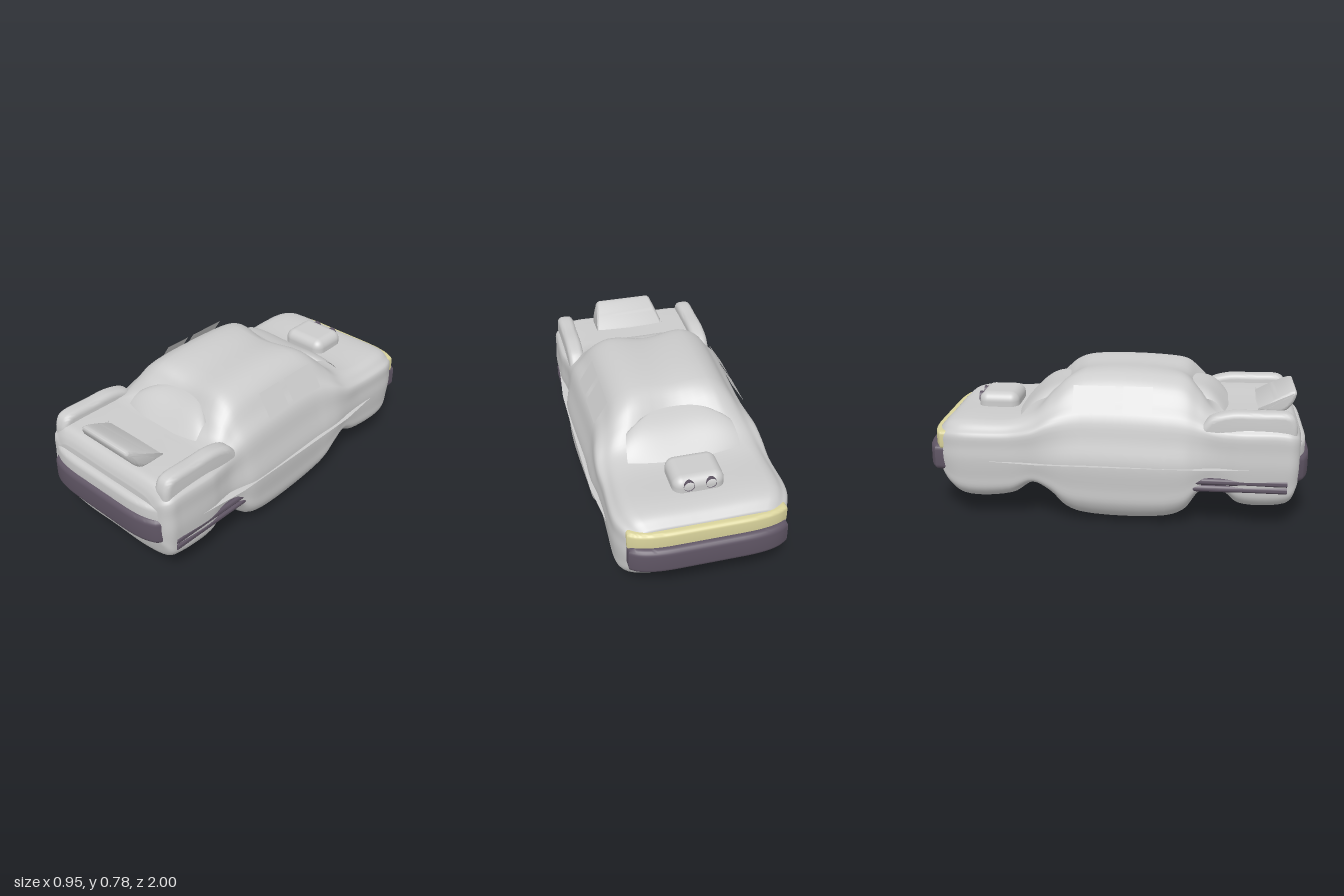
import * as THREE from 'three';
import { toCreasedNormals } from 'three/addons/utils/BufferGeometryUtils.js';
import { RoundedBoxGeometry } from 'three/addons/geometries/RoundedBoxGeometry.js';
import { ParametricGeometry } from 'three/addons/geometries/ParametricGeometry.js';

const grey = new THREE.MeshStandardMaterial({ color: 0xcccccc });
const greyThin = new THREE.MeshStandardMaterial({ color: 0xcccccc, side: THREE.DoubleSide });
const dark = new THREE.MeshStandardMaterial({ color: 0x5f5564, side: THREE.DoubleSide });
const cream = new THREE.MeshStandardMaterial({ color: 0xd8d29b });

// Body stations, front to back: z, bottom y, half width, shoulder y, top edge x, top edge y
const STATIONS = [
  [0.945, 0.25, 0.36, 0.45, 0.28, 0.49],
  [0.93, 0.18, 0.41, 0.48, 0.3, 0.53],
  [0.9, 0.11, 0.435, 0.49, 0.34, 0.56],
  [0.84, 0.085, 0.44, 0.5, 0.35, 0.565],
  [0.64, 0.09, 0.445, 0.5, 0.35, 0.565],
  [0.57, 0.145, 0.435, 0.5, 0.33, 0.567],
  [0.5, 0.19, 0.43, 0.51, 0.27, 0.59],
  [0.43, 0.14, 0.445, 0.53, 0.22, 0.67],
  [0.36, 0.045, 0.462, 0.55, 0.2, 0.735],
  [0.26, 0.003, 0.465, 0.56, 0.2, 0.755],
  [-0.17, 0.002, 0.453, 0.56, 0.2, 0.755],
  [-0.26, 0.04, 0.456, 0.55, 0.21, 0.722],
  [-0.34, 0.125, 0.455, 0.53, 0.23, 0.65],
  [-0.43, 0.17, 0.445, 0.49, 0.29, 0.56],
  [-0.55, 0.1, 0.44, 0.465, 0.33, 0.525],
  [-0.8, 0.09, 0.44, 0.46, 0.33, 0.522],
  [-0.88, 0.145, 0.41, 0.45, 0.31, 0.505],
  [-0.93, 0.235, 0.37, 0.43, 0.28, 0.465],
];

// Closed smooth ring through one station; the cabin narrows at the shoulder and dips along its centre
function sectionRing([z, b, w, sy, tx, ty], count) {
  const cabin = THREE.MathUtils.clamp((ty - 0.565) / 0.19, 0, 1);
  const cy = ty - 0.01 * cabin - 0.2 * cabin * (1 - cabin);
  const sx = w - 0.008 - 0.045 * cabin, bw = 0.18 + 0.4 * b, rise = 0.33 - b;
  const half = [
    [bw, b], [THREE.MathUtils.lerp(bw, w, 0.7), b + 0.03], [w * 0.96, b + rise * 0.33],
    [w * 0.98, b + rise * 0.6], [w, 0.33], [(w + sx) / 2, (0.33 + sy) / 2], [sx, sy],
    [sx + (tx - sx) * 0.26, sy + (ty - sy) * 0.36], [sx + (tx - sx) * 0.55, sy + (ty - sy) * 0.77], [tx, ty],
  ];
  const right = half.map(([x, y]) => new THREE.Vector3(x, y, z));
  const left = half.map(([x, y]) => new THREE.Vector3(-x, y, z)).reverse();
  const ring = [new THREE.Vector3(0, b, z), ...right, new THREE.Vector3(0, cy, z), ...left];
  return new THREE.CatmullRomCurve3(ring, true).getPoints(count).slice(0, count);
}

function bodyGeometry() {
  const N = 88, M = 102;
  const rings = STATIONS.map((s) => sectionRing(s, N));
  const columns = rings[0].map((_, j) => new THREE.CatmullRomCurve3(rings.map((r) => r[j])).getPoints(M));
  const pos = [], index = [];
  for (let i = 0; i <= M; i++) for (let j = 0; j < N; j++) pos.push(...columns[j][i].toArray());
  pos.push(0, 0.37, 0.95, 0, 0.36, -0.94);
  const front = (M + 1) * N, back = front + 1;
  for (let j = 0; j < N; j++) {
    const k = (j + 1) % N;
    for (let i = 0; i < M; i++) {
      const a = i * N + j, b = i * N + k, c = a + N, d = b + N;
      index.push(a, c, b, b, c, d);
    }
    index.push(front, j, k, back, M * N + k, M * N + j);
  }
  const g = new THREE.BufferGeometry();
  g.setAttribute('position', new THREE.Float32BufferAttribute(pos, 3));
  g.setIndex(index);
  g.computeVertexNormals();
  return g;
}

// Bar with a bowed outer face, running from z = 0 out to z = depth
function bumperGeometry(halfWidth, height, depth, bevel) {
  const w = halfWidth - bevel, d = depth - bevel, s = new THREE.Shape();
  s.moveTo(-w, bevel).lineTo(w, bevel).lineTo(w, d - 0.04);
  s.quadraticCurveTo(w - 0.05, d, 0.16, d).lineTo(-0.16, d);
  s.quadraticCurveTo(-w + 0.05, d, -w, d - 0.04);
  const g = new THREE.ExtrudeGeometry(s, {
    depth: height - 2 * bevel, bevelThickness: bevel, bevelSize: bevel, bevelSegments: 5, curveSegments: 16,
  });
  g.translate(0, 0, bevel - height / 2).rotateX(Math.PI / 2);
  return toCreasedNormals(g, 0.7);
}

// Rounded solid from a side outline of [z, y] points, centred on x = 0
function sideProfile(points, width, bevel) {
  const outline = new THREE.SplineCurve(points.map(([z, y]) => new THREE.Vector2(-z, y)));
  const g = new THREE.ExtrudeGeometry(new THREE.Shape(outline.getPoints(40)), {
    depth: width - 2 * bevel, bevelThickness: bevel, bevelSize: bevel, bevelOffset: -bevel, bevelSegments: 5,
  });
  g.translate(0, 0, bevel - width / 2).rotateY(Math.PI / 2);
  return toCreasedNormals(g, 0.8);
}

// Gently domed windscreen, from the roof edge down to the deck
function screenGeometry(zTop, yTop, zLow, yLow, halfTop, halfLow) {
  return new ParametricGeometry((u, v, p) => {
    const s = u * 2 - 1, corner = 1 - 0.12 * Math.pow(Math.abs(v * 2 - 1), 6);
    const x = s * THREE.MathUtils.lerp(halfTop, halfLow, v) * corner;
    const z = THREE.MathUtils.lerp(zTop + Math.sign(zTop) * 0.07 * s * s, zLow, v);
    const y = THREE.MathUtils.lerp(yTop, yLow, v) + 0.03 * Math.sin(Math.PI * v) - 0.05 * s ** 4 * (1 - 0.4 * v);
    p.set(x, y, z);
  }, 24, 12);
}

export function createModel() {
  const model = new THREE.Group();
  const add = (name, geometry, material, x = 0, y = 0, z = 0) => {
    const mesh = new THREE.Mesh(geometry, material);
    mesh.name = name;
    mesh.position.set(x, y, z);
    model.add(mesh);
    return mesh;
  };

  add('body', bodyGeometry(), grey);
  add('frontScreen', screenGeometry(0.37, 0.68, 0.58, 0.568, 0.22, 0.25), greyThin);
  add('rearScreen', screenGeometry(-0.28, 0.68, -0.53, 0.53, 0.27, 0.3), greyThin);

  // Bumpers and the trim bars above them
  add('frontBumper', bumperGeometry(0.395, 0.145, 0.1, 0.03), dark, 0, 0.317, 0.9);
  add('frontTrim', bumperGeometry(0.395, 0.13, 0.1, 0.03), grey, 0, 0.4, 0.88);
  add('rearBumper', bumperGeometry(0.395, 0.14, 0.13, 0.03), dark, 0, 0.32, -0.87).rotation.y = Math.PI;
  add('rearTrim', bumperGeometry(0.395, 0.1, 0.1, 0.02), cream, 0, 0.415, -0.865).rotation.y = Math.PI;

  // Deck spoiler, narrowing towards its lip
  const spoiler = sideProfile([[0.72, 0.56], [0.8, 0.61], [0.9, 0.66], [0.93, 0.65], [0.9, 0.59], [0.84, 0.555], [0.72, 0.56]], 0.4, 0.02);
  const sp = spoiler.attributes.position;
  for (let i = 0; i < sp.count; i++) sp.setX(i, sp.getX(i) * (1 - 2.2 * Math.max(0, sp.getY(i) - 0.575)));
  add('spoiler', spoiler, grey);

  add('scoop', new RoundedBoxGeometry(0.26, 0.13, 0.22, 6, 0.05), grey, 0, 0.535, -0.66);

  // Tapered strip plate lying along the flank
  const strip = new THREE.Shape([[0.4, 0.73], [0.445, 0.72], [0.472, 0.45], [0.474, 0], [0.472, -0.4], [0.44, -0.68], [0.4, -0.68]]
    .map(([x, z]) => new THREE.Vector2(x, z)));

  for (const side of [1, -1]) {
    const label = side > 0 ? 'left' : 'right';
    const fin = sideProfile([[0.92, 0.47], [0.915, 0.56], [0.87, 0.613], [0.72, 0.615], [0.58, 0.612], [0.47, 0.57], [0.46, 0.47], [0.92, 0.47]], 0.09, 0.03);
    add(label + 'Fin', fin, grey, side * 0.37);

    // Outlet at the back of the scoop
    add(label + 'Outlet', new THREE.CylinderGeometry(0.027, 0.027, 0.03, 20, 1, true).rotateX(Math.PI / 2), dark, side * 0.055, 0.562, -0.76);

    add(label + 'Strip', new THREE.ShapeGeometry(strip).rotateX(Math.PI / 2), greyThin, 0, 0.325).scale.x = side;

    // Side windows leaning in towards the roof
    for (const [z0, z1, name] of [[0.04, 0.19, 'FrontWindow'], [-0.215, 0, 'RearWindow']]) {
      const pane = new THREE.PlaneGeometry(z1 - z0, 0.1415).rotateY(side * Math.PI / 2);
      pane.rotateZ(side * Math.atan2(0.075, 0.12));
      add(label + name, pane, greyThin, side * 0.3675, 0.655, (z0 + z1) / 2);
    }

    // Paired side pipes with slanted tips
    for (const [y, tip, name] of [[0.25, 0.4, 'UpperPipe'], [0.213, 0.33, 'LowerPipe']]) {
      const pipe = new THREE.CylinderGeometry(0.018, 0.018, 0.88 - tip, 20).rotateX(Math.PI / 2);
      const p = pipe.attributes.position;
      for (let i = 0; i < p.count; i++) if (p.getZ(i) < 0) p.setZ(i, p.getZ(i) + 0.03 + p.getY(i) * 1.6);
      add(label + name, toCreasedNormals(pipe, 0.7), dark, side * 0.423, y, (0.88 + tip) / 2);
    }
  }
  return model;
}
